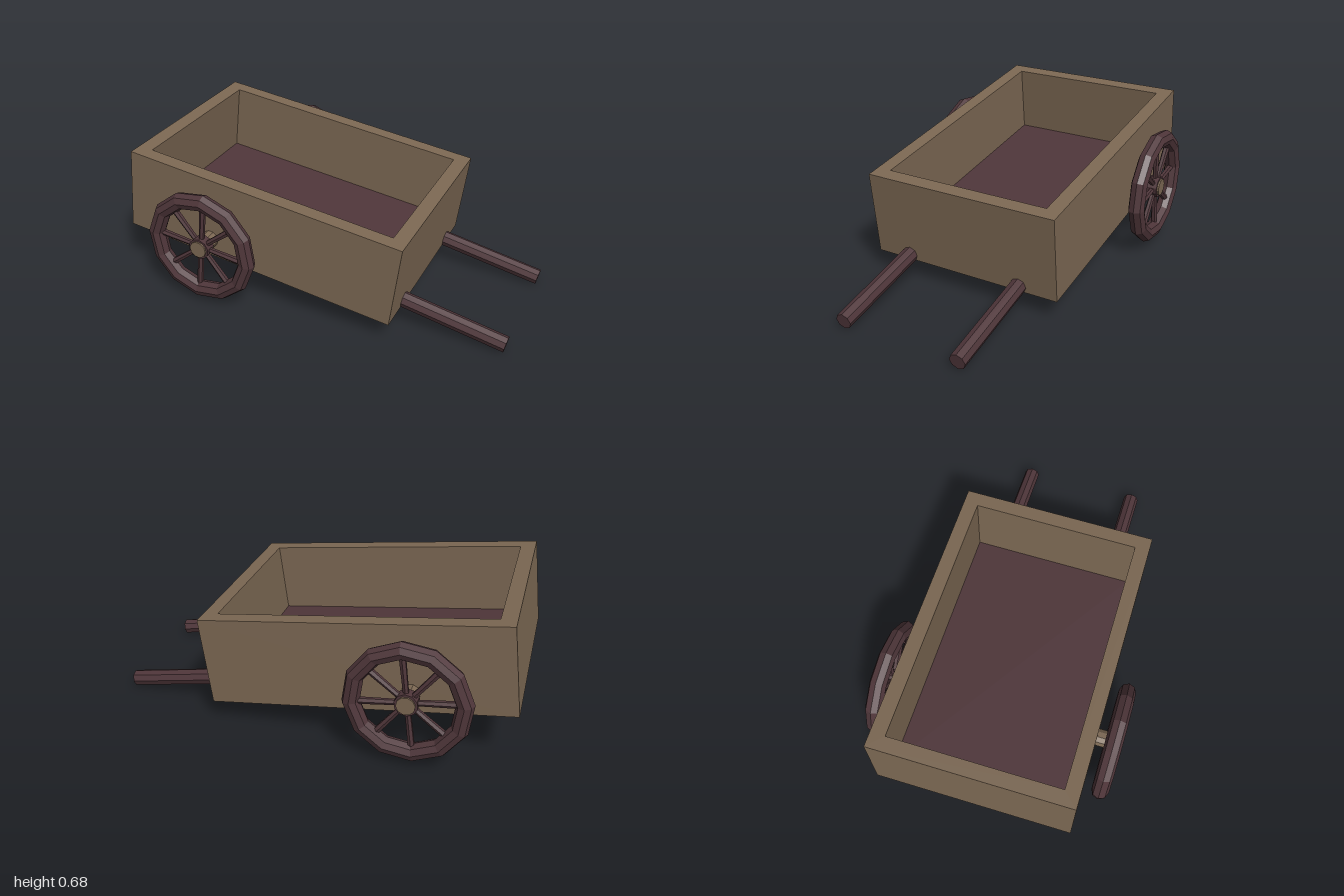
import * as THREE from 'three';

const WIDTH = 0.937, LENGTH = 1.383, HEIGHT = 0.413, WALL = 0.07, FLOOR = 0.078;

const wood = new THREE.MeshStandardMaterial({ color: 0x7c6853, flatShading: true });
const darkWood = new THREE.MeshStandardMaterial({ color: 0x4f363a, flatShading: true });

function add(parent, name, geometry, material, x = 0, y = 0, z = 0) {
  const mesh = new THREE.Mesh(geometry, material);
  mesh.name = name;
  mesh.position.set(x, y, z);
  parent.add(mesh);
  return mesh;
}

function rectangle(path, w, l) {
  path.moveTo(-w / 2, -l / 2);
  path.lineTo(w / 2, -l / 2);
  path.lineTo(w / 2, l / 2);
  path.lineTo(-w / 2, l / 2);
  path.closePath();
  return path;
}

// Spoked wheel in the xy plane
function createWheel(name) {
  const wheel = new THREE.Group();
  wheel.name = name;
  add(wheel, 'rim', new THREE.TorusGeometry(0.244, 0.04, 8, 12), darkWood);
  const spoke = new THREE.CylinderGeometry(0.016, 0.013, 0.2, 6);
  spoke.translate(0, 0.125, 0);
  for (let i = 0; i < 8; i++) {
    add(wheel, 'spoke', spoke, darkWood).rotation.z = i * Math.PI / 4;
  }
  add(wheel, 'hub', new THREE.CylinderGeometry(0.052, 0.052, 0.05, 10).rotateX(Math.PI / 2), darkWood);
  return wheel;
}

export function createModel() {
  const model = new THREE.Group();
  model.name = 'handcart';

  // The whole cart is turned and tipped forward onto its handles
  const cart = new THREE.Group();
  cart.name = 'cart';
  cart.rotation.set(0.1196, 0.2215, 0, 'YXZ');
  cart.position.set(0.0275, 0.1875, -0.229);
  model.add(cart);

  // Open box: walls as a frame, base board and dark inner floor
  const frame = rectangle(new THREE.Shape(), WIDTH, LENGTH);
  frame.holes.push(rectangle(new THREE.Path(), WIDTH - 2 * WALL, LENGTH - 2 * WALL));
  const walls = new THREE.ExtrudeGeometry(frame, { depth: HEIGHT, bevelEnabled: false });
  walls.rotateX(-Math.PI / 2);
  add(cart, 'walls', walls, wood);
  const innerW = WIDTH - 2 * WALL, innerL = LENGTH - 2 * WALL;
  add(cart, 'base', new THREE.BoxGeometry(innerW, 0.05, innerL), wood, 0, 0.025, 0);
  add(cart, 'floor', new THREE.BoxGeometry(innerW, FLOOR - 0.05, innerL), darkWood, 0, (FLOOR + 0.05) / 2, 0);

  const handleBack = new THREE.Vector3(0, 0.04, 0.48);
  const handleTip = new THREE.Vector3(0, -0.004, 1.192);
  const handleDir = handleTip.clone().sub(handleBack);

  for (const side of [-1, 1]) {
    const label = side > 0 ? 'left' : 'right';

    // Wheels on short axle stubs
    const wheel = createWheel(label + 'Wheel');
    wheel.rotation.y = side * Math.PI / 2;
    wheel.position.set(side * 0.547, 0.094, -0.243);
    cart.add(wheel);
    const axle = new THREE.CylinderGeometry(0.042, 0.042, 0.16, 10);
    axle.rotateZ(Math.PI / 2);
    add(cart, label + 'Axle', axle, wood, side * 0.5, 0.094, -0.243);

    // Pull handles set into the underside
    const rod = new THREE.CylinderGeometry(0.038, 0.038, handleDir.length(), 8);
    const mid = handleBack.clone().lerp(handleTip, 0.5);
    const handle = add(cart, label + 'Handle', rod, darkWood, side * 0.286 - 0.005, mid.y, mid.z);
    handle.quaternion.setFromUnitVectors(new THREE.Vector3(0, 1, 0), handleDir.clone().normalize());
  }
  return model;
}
